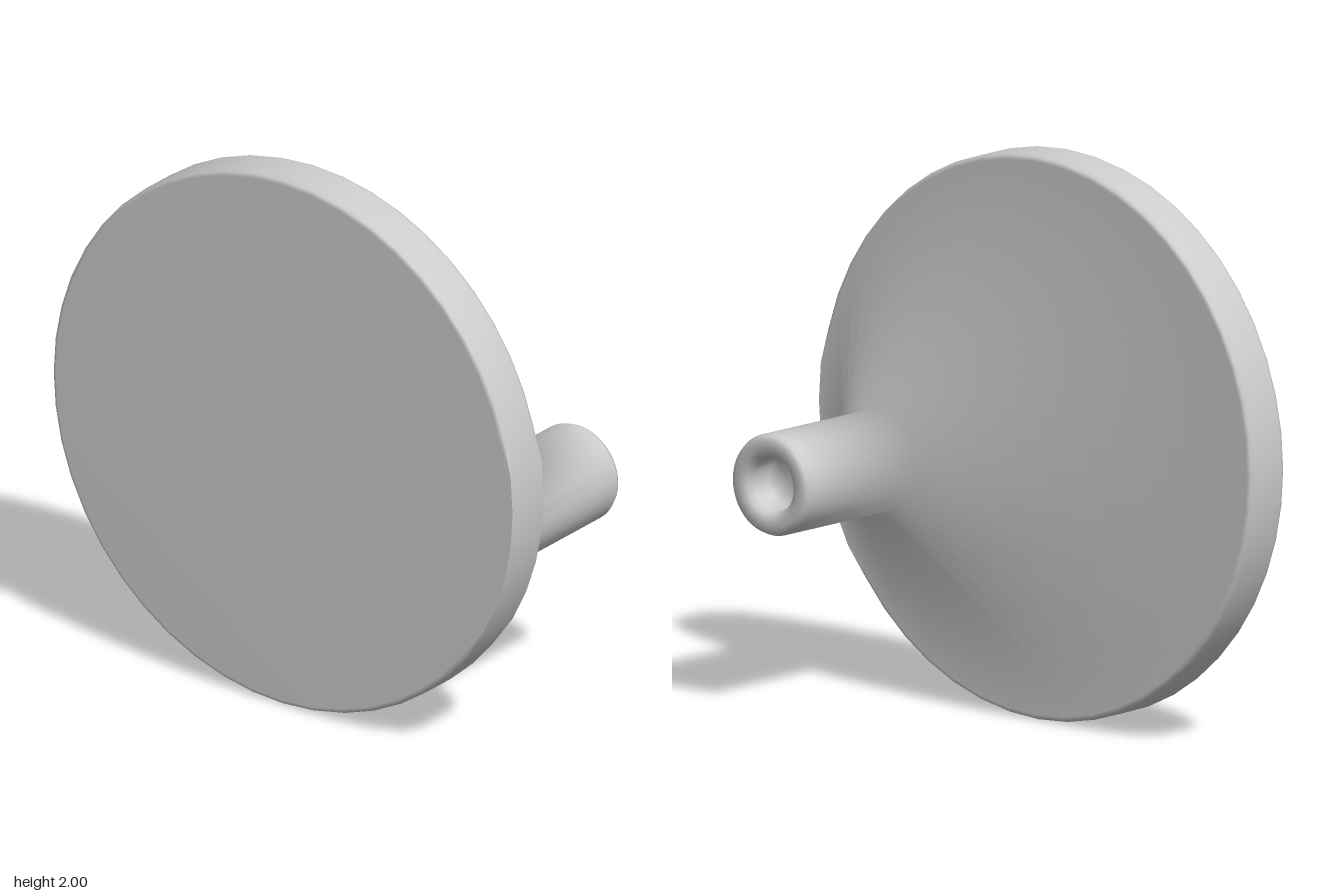
import * as THREE from 'three';

const SEG = 48;
const BEVEL = 0.02;

// The rim bevel runs out on the side next to the peg.
function rimBevel(a) {
  const s = a > Math.PI ? a - 2 * Math.PI : a;
  return s > -0.63 && s < 0.16 ? 0 : BEVEL;
}

export function createModel() {
  const group = new THREE.Group();
  const grey = new THREE.MeshStandardMaterial({ color: 0xcccccc });
  grey.name = 'light grey';

  // Rings from the peg's hollow, down the peg, over the disc to its back centre.
  const peg = (x, r) => () => [x, r, 0.82, 0.725];
  const disc = (x, dx, dr) => (a) => [x + dx * rimBevel(a), 1 - dr * rimBevel(a), 1, 0];
  const rings = [
    peg(0.27, 0), peg(0.27, 0.09), peg(0.345, 0.095), peg(0.367, 0.108), peg(0.375, 0.13),
    peg(0.375, 0.155), peg(0.368, 0.172), peg(0.35, 0.18), peg(-0.2, 0.18),
    disc(-0.2, 0, 1), disc(-0.2, -0.3, 0.3), disc(-0.2, -1, 0),
    disc(-0.38, 1, 0), disc(-0.38, 0.3, 0.3), disc(-0.38, 0, 1),
    () => [-0.38, 0, 1, 0],
  ];
  const positions = [];
  for (const ring of rings) {
    for (let j = 0; j < SEG; j++) {
      const a = (j / SEG) * Math.PI * 2;
      const [x, r, cy, cz] = ring(a);
      positions.push(x, cy + r * Math.sin(a), cz + r * Math.cos(a));
    }
  }

  // Quads joining ring `from` through ring `to`.
  const strips = (from, to) => {
    const index = [];
    for (let i = from; i < to; i++) {
      for (let j = 0; j < SEG; j++) {
        const k = (j + 1) % SEG;
        const a = i * SEG + j, b = i * SEG + k, c = a + SEG, d = b + SEG;
        if (i > 0) index.push(a, b, c);
        if (i < rings.length - 2) index.push(b, d, c);
        else index.push(a, b, c);
        if (i === rings.length - 2) index.splice(-3);
      }
    }
    return index;
  };

  // Normals are shared over the whole body so the peg blends into the disc.
  const body = new THREE.BufferGeometry();
  body.setAttribute('position', new THREE.Float32BufferAttribute(positions, 3));
  body.setIndex(strips(0, rings.length - 1));
  body.computeVertexNormals();
  // Pole points face straight along the axis.
  for (let j = 0; j < SEG; j++) {
    body.attributes.normal.setXYZ(j, 1, 0, 0);
    body.attributes.normal.setXYZ((rings.length - 1) * SEG + j, -1, 0, 0);
  }

  const addPart = (name, from, to) => {
    const geometry = body.clone();
    geometry.setIndex(strips(from, to));
    const mesh = new THREE.Mesh(geometry, grey);
    mesh.name = name;
    group.add(mesh);
  };
  addPart('pegHollow', 0, 4);
  addPart('peg', 4, 8);
  addPart('discFace', 8, 9);
  addPart('discRim', 9, 14);
  addPart('discBack', 14, 15);
  return group;
}
